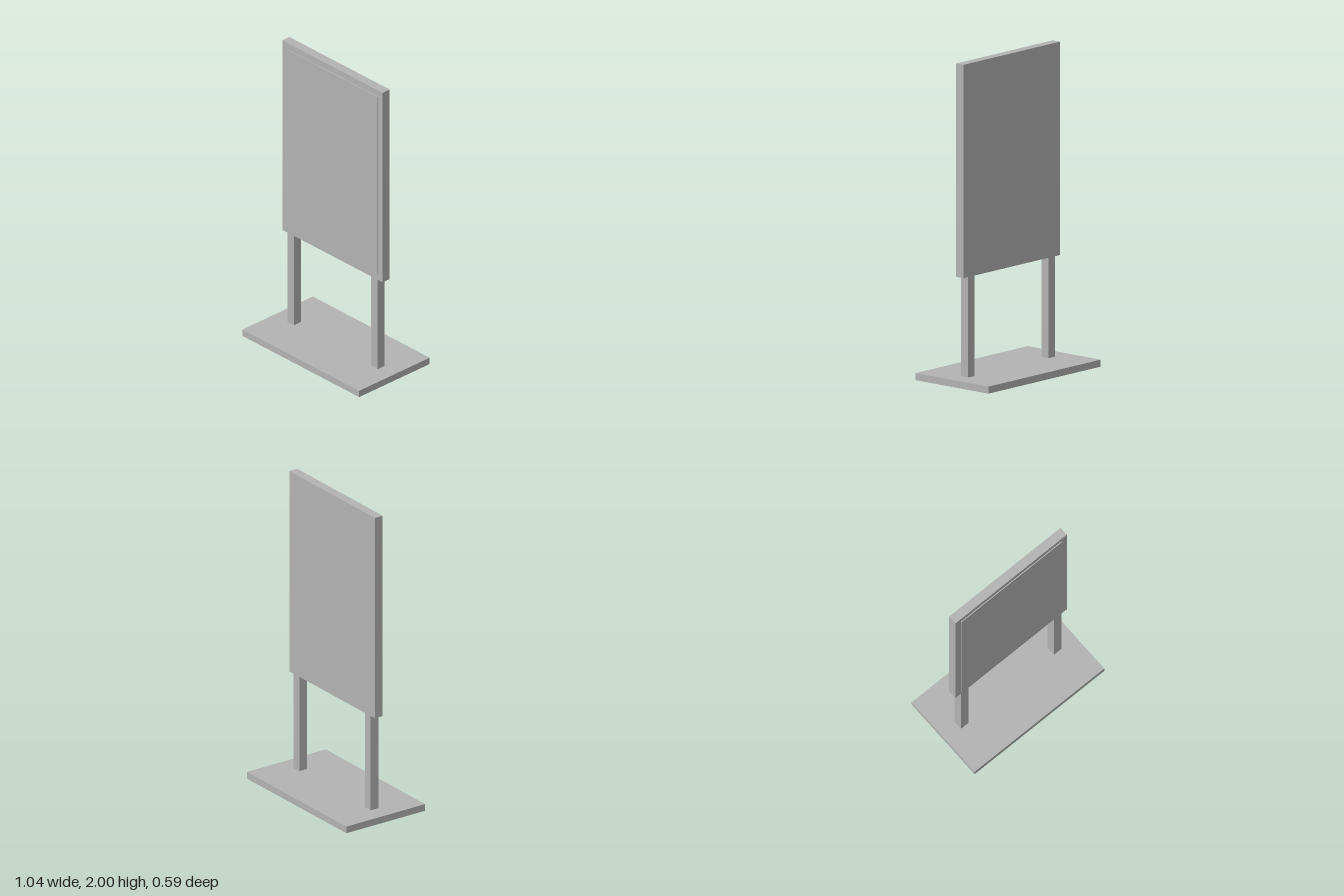
import * as THREE from 'three';

export function createModel() {
  const group = new THREE.Group();
  const grey = new THREE.MeshStandardMaterial({ color: 0xb3b3b3 });
  grey.name = 'plain grey';

  // Adds a box spanning the given minimum and maximum corners
  function addBox(name, min, max) {
    const size = max.map((v, i) => v - min[i]);
    const mesh = new THREE.Mesh(new THREE.BoxGeometry(...size), grey);
    mesh.position.set(...max.map((v, i) => (v + min[i]) / 2));
    mesh.name = name;
    group.add(mesh);
  }

  // Floor plate
  addBox('base', [-0.518, 0, -0.296], [0.518, 0.044, 0.296]);

  // Two square posts, flush with the board
  for (const [name, side] of [['leftPost', 1], ['rightPost', -1]]) {
    const x = side * 0.371;
    addBox(name, [x - 0.03, 0.044, -0.0295], [x + 0.03, 0.67, 0.0295]);
  }

  // Upright board with a thin raised display sheet on its front
  addBox('board', [-0.445, 0.67, -0.0295], [0.445, 2, 0.0295]);
  addBox('displaySheet', [-0.401, 0.715, 0.0295], [0.401, 1.956, 0.0355]);

  return group;
}
